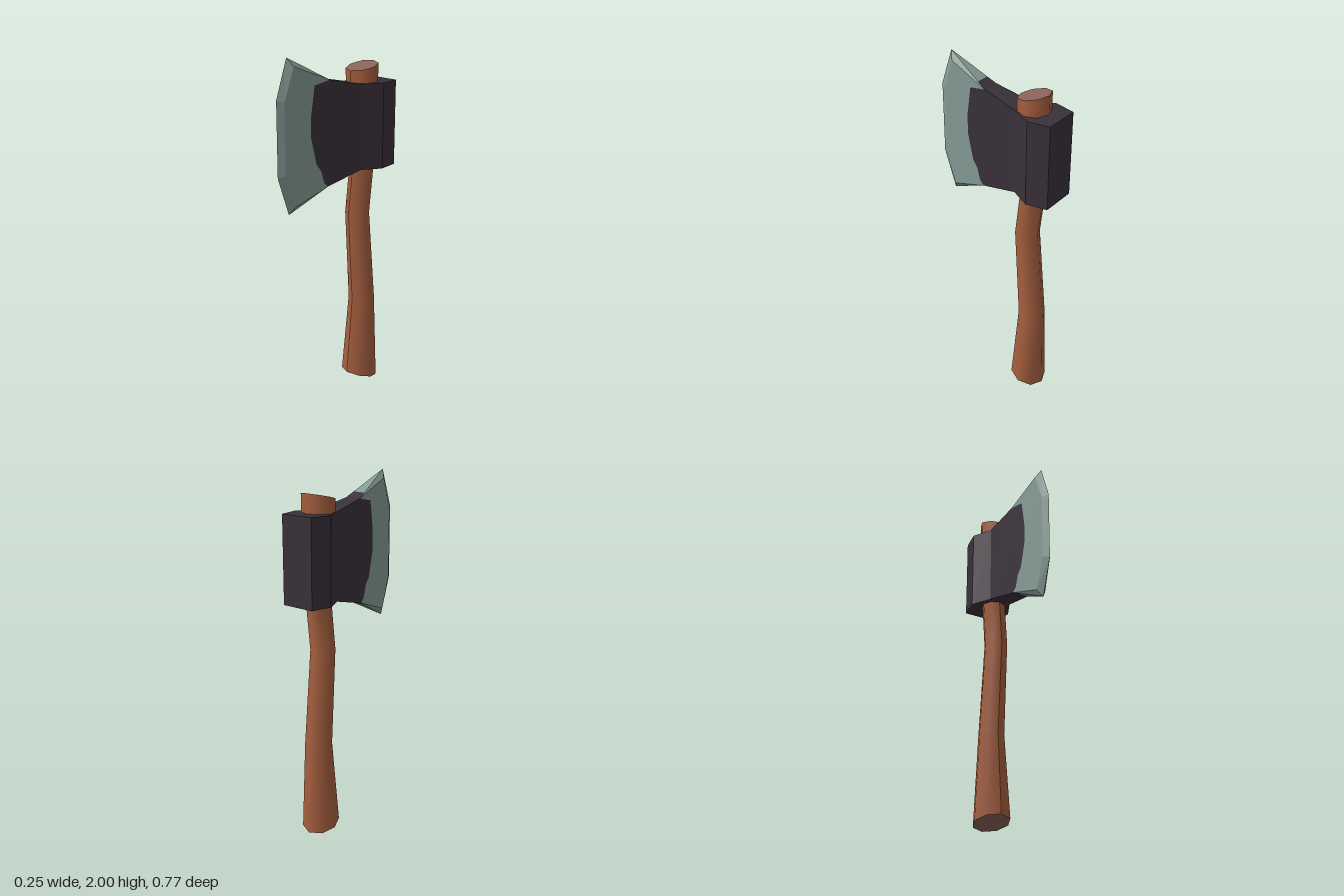
import * as THREE from 'three';

const mat = (name, color) => Object.assign(new THREE.MeshStandardMaterial({ color }), { name });

// Half width of the flat cheek, tapering towards the edge
const half = z => 0.053 - 0.086 * z;
const onCheek = ([z, y]) => [half(z), y, z];
const mid = ([z, y]) => [0, y, z];

// Collects flat faces for x >= 0, mirrors them and turns them outwards
class FaceSet {
  constructor() { this.pos = []; }
  tri(points) {
    const centre = new THREE.Vector3(0, 1.6, -0.2);
    for (const s of [1, -1]) {
      const [a, b, c] = points.map(p => new THREE.Vector3(p[0] * s, p[1], p[2]));
      const n = b.clone().sub(a).cross(c.clone().sub(a));
      const m = a.clone().add(b).add(c).divideScalar(3).sub(centre);
      for (const v of n.dot(m) > 0 ? [a, b, c] : [a, c, b]) this.pos.push(v.x, v.y, v.z);
    }
  }
  // convex face
  face(...p) {
    for (let i = 1; i < p.length - 1; i++) this.tri([p[0], p[i], p[i + 1]]);
  }
  // outline in (z, y) laid on the tapering cheek
  cheek(outline) {
    const pts = outline.map(p => new THREE.Vector2(...p));
    for (const t of THREE.ShapeUtils.triangulateShape(pts, [])) this.tri(t.map(i => onCheek(outline[i])));
  }
  mesh(name, material) {
    const g = new THREE.BufferGeometry();
    g.setAttribute('position', new THREE.Float32BufferAttribute(this.pos, 3));
    g.computeVertexNormals();
    const m = new THREE.Mesh(g, material);
    m.name = name;
    return m;
  }
}

function createHead(iron, steel) {
  const dark = new FaceSet(), light = new FaceSet();

  // Block around the handle: plan outline as [half width, z]
  const plan = [[0, -0.386], [0.1, -0.386], [0.125, -0.265], [half(-0.15), -0.15], [0, -0.15]];
  const at = (i, y) => [plan[i][0], y, plan[i][1]];
  for (let i = 0; i < 3; i++) dark.face(at(i, 1.34), at(i + 1, 1.34), at(i + 1, 1.82), at(i, 1.82));
  for (const y of [1.34, 1.82]) dark.face(...plan.map((_, i) => at(i, y)));

  // Cheeks: dark iron up to a curved border, then steel; all points are [z, y]
  const border = [[0.075, 1.285], [0.1, 1.31], [0.12, 1.38], [0.15, 1.42], [0.185, 1.57],
    [0.185, 1.68], [0.16, 1.845], [0.06, 1.865]];
  const bevel = [[0.29, 1.21], [0.35, 1.39], [0.35, 1.78], [0.29, 1.955]];
  const edge = [[0.315, 1.165], [0.386, 1.38], [0.386, 1.79], [0.315, 2]];
  dark.cheek([[-0.15, 1.34], ...border, [-0.15, 1.82]]);
  light.cheek([...bevel, ...[...border].reverse()]);

  // Ground cutting edge
  for (let i = 0; i < 3; i++)
    light.face(onCheek(bevel[i]), mid(edge[i]), mid(edge[i + 1]), onCheek(bevel[i + 1]));

  // Lower and upper rims, running out to the two tips
  for (const [neck, corner, shoulder, tip] of [
    [[-0.15, 1.34], border[0], bevel[0], edge[0]],
    [[-0.15, 1.82], border[7], bevel[3], edge[3]]]) {
    dark.face(mid(neck), onCheek(neck), onCheek(corner), mid(corner));
    const t = (0.11 - corner[0]) / (tip[0] - corner[0]);
    const lerp = (a, b) => a.map((v, i) => v + (b[i] - v) * t);
    const inner = lerp(mid(corner), mid(tip)), outer = lerp(onCheek(corner), mid(tip));
    dark.face(mid(corner), onCheek(corner), outer, inner);
    light.face(inner, outer, mid(tip));
    light.face(onCheek(corner), onCheek(shoulder), mid(tip));
  }

  const head = new THREE.Group();
  head.name = 'axeHead';
  head.add(dark.mesh('ironHead', iron), light.mesh('steelBlade', steel));
  return head;
}

function createHandle(wood, endGrain) {
  // Octagonal sections: [front z, front y, back z, back y, half width]
  const sections = [
    [-0.12, 0.06, -0.325, 0.005, 0.105],
    [-0.16, 0.53, -0.312, 0.53, 0.075],
    [-0.125, 1.07, -0.263, 1.07, 0.068],
    [-0.155, 1.34, -0.293, 1.34, 0.068],
    [-0.135, 1.78, -0.308, 1.8, 0.09],
    [-0.132, 1.885, -0.309, 1.925, 0.09]];
  const N = 8;
  const ring = ([fz, fy, bz, by, w]) => Array.from({ length: N + 1 }, (_, i) => {
    const a = i / N * Math.PI * 2, t = (1 - Math.cos(a)) / 2;
    return [Math.sin(a) * w, fy + (by - fy) * t, fz + (bz - fz) * t];
  });
  const build = (name, pos, index, material) => {
    const g = new THREE.BufferGeometry();
    g.setAttribute('position', new THREE.Float32BufferAttribute(pos.flat(), 3));
    g.setIndex(index);
    g.computeVertexNormals();
    const m = new THREE.Mesh(g, material);
    m.name = name;
    return m;
  };

  // Curved shaft
  const rings = sections.map(ring), index = [];
  for (let j = 0; j < rings.length - 1; j++)
    for (let i = 0; i < N; i++) {
      const a = j * (N + 1) + i, b = a + N + 1;
      index.push(a, a + 1, b + 1, a, b + 1, b);
    }
  const handle = new THREE.Group();
  handle.name = 'handle';
  handle.add(build('shaft', rings.flat(), index, wood));

  // Slanted cut ends
  const up = [], down = [];
  for (let i = 1; i < N - 1; i++) {
    up.push(0, i, i + 1);
    down.push(0, i + 1, i);
  }
  handle.add(build('topEnd', rings[rings.length - 1], up, endGrain));
  handle.add(build('bottomEnd', rings[0], down, endGrain));
  return handle;
}

export function createModel() {
  const iron = mat('dark iron', 0x3a313a);
  const steel = mat('grey green steel', 0x849b94);
  const wood = mat('brown wood', 0xa55f3e);
  const endGrain = mat('pale end grain', 0x8c6459);
  const model = new THREE.Group();
  model.name = 'axe';
  model.add(createHead(iron, steel), createHandle(wood, endGrain));
  return model;
}
